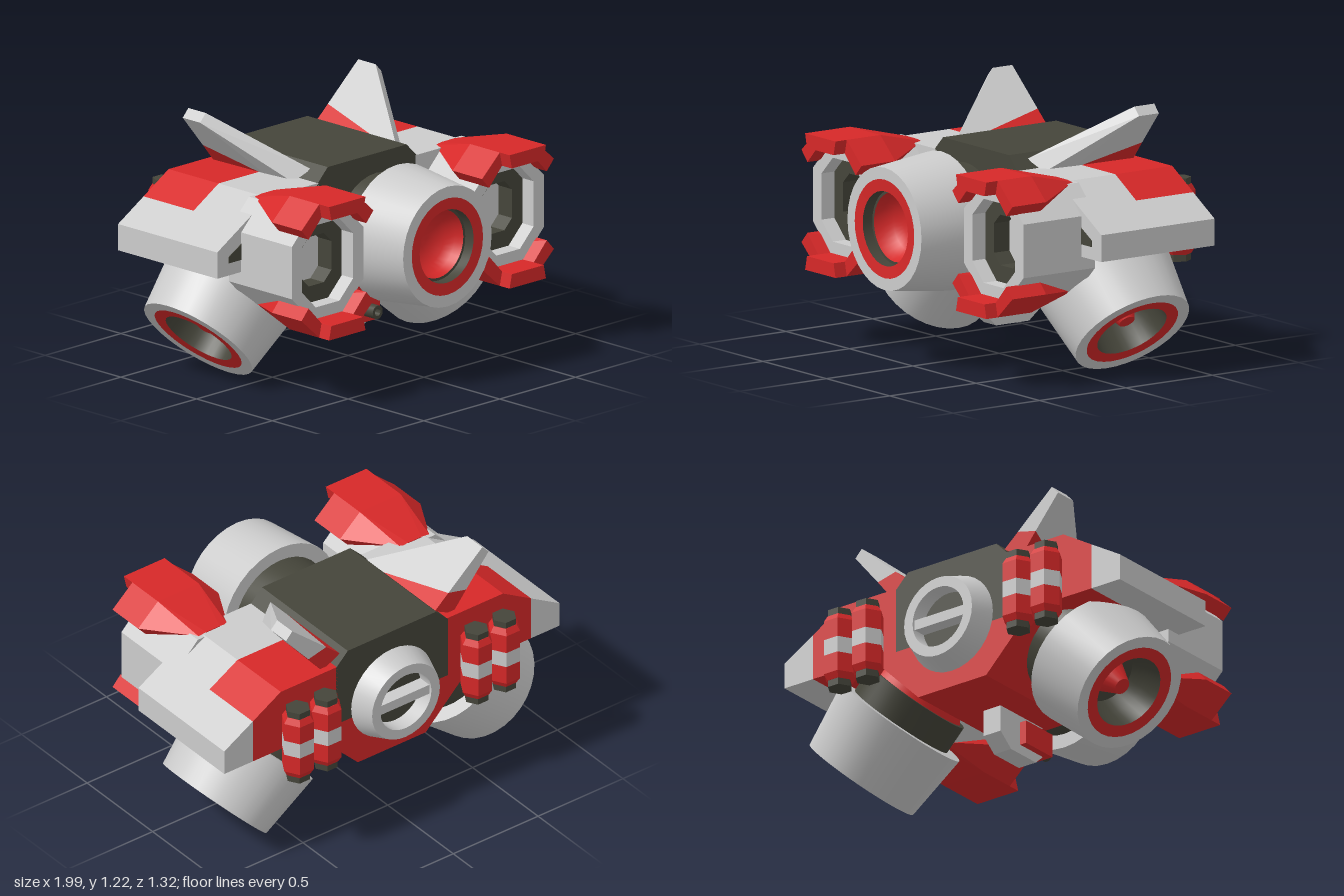
import * as THREE from 'three';
import { toCreasedNormals } from 'three/addons/utils/BufferGeometryUtils.js';
import { ConvexGeometry } from 'three/addons/geometries/ConvexGeometry.js';

const grey = new THREE.MeshStandardMaterial({ color: 0xcccccc });
const red = new THREE.MeshStandardMaterial({ color: 0xd62828 });
const dark = new THREE.MeshStandardMaterial({ color: 0x45453a });

const V2 = (a) => a.map(([x, y]) => new THREE.Vector2(x, y));

function add(parent, name, geo, mat, x = 0, y = 0, z = 0) {
  const m = new THREE.Mesh(geo, mat);
  m.name = name;
  m.position.set(x, y, z);
  parent.add(m);
  return m;
}

// Outline in x/y, extruded from z0 to z1, optionally with a hole
function prism(pts, z0, z1, hole) {
  const s = new THREE.Shape(V2(pts));
  if (hole) s.holes.push(new THREE.Path(V2(hole)));
  return new THREE.ExtrudeGeometry(s, { depth: z1 - z0, bevelEnabled: false }).translate(0, 0, z0);
}

// Convex solid, mirrored in x by s and in y by v
const hull = (pts, s = 1, v = 1) =>
  new ConvexGeometry(pts.map(([x, y, z]) => new THREE.Vector3(x * s, y * v, z)));

const lathe = (pts, seg = 32) => toCreasedNormals(new THREE.LatheGeometry(V2(pts), seg), 0.5);

const box = (w, h, d) => new THREE.BoxGeometry(w, h, d);

// Octagon with half sizes a, b and corner cut c
const oct = (a, b, c) => [
  [a, -b + c], [a, b - c], [a - c, b], [-a + c, b],
  [-a, b - c], [-a, -b + c], [-a + c, -b], [a - c, -b],
];

// Round housing along local +y, with a lens or a nozzle cone inside
function housing(name, lens) {
  const g = new THREE.Group();
  g.name = name;
  add(g, 'collar', lathe([[0, 0], [0.2, 0], [0.24, 0.065], [0, 0.065]]), red);
  add(g, 'neck', lathe([[0, 0.06], [0.26, 0.06], [0.26, 0.22], [0, 0.22]]), dark);
  add(g, 'shell', lathe([[0.2, 0.2], [0.33, 0.2], [0.292, 0.53], [0.235, 0.53]]), grey);
  add(g, 'trimRing', lathe([[0.235, 0.53], [0.178, 0.525]]), red);
  if (lens) {
    add(g, 'lensRim', lathe([[0.178, 0.525], [0.178, 0.47], [0.165, 0.47]]), dark);
    add(g, 'lens', lathe([[0.168, 0.47], [0.155, 0.425], [0.125, 0.385], [0.08, 0.36], [0.04, 0.352], [0, 0.35]]), red);
  } else {
    add(g, 'bowl', lathe([[0.178, 0.525], [0.17, 0.42], [0.145, 0.34], [0, 0.32]]), dark);
    add(g, 'cone', lathe([[0.1, 0.32], [0.04, 0.47], [0, 0.47]], 16), red);
  }
  return g;
}

// Octagonal pod with a recessed muzzle and red armour above and below
function pod() {
  const g = new THREE.Group();
  g.name = 'gunPod';
  const opening = oct(0.168, 0.2, 0.09);
  add(g, 'podBody', prism(oct(0.235, 0.2575, 0.13), 0.05, 0.465, opening), grey);
  add(g, 'muzzle', prism(opening, 0.28, 0.39, oct(0.1, 0.12, 0.05)), dark);
  add(g, 'podBack', prism(opening, 0.06, 0.3), grey);
  const inTop = [0.105, 0.2575], outTop = [0.12, 0.325], outEnd = [0.237, 0.22], inEnd = [0.19, 0.168];
  for (const v of [1, -1]) {
    const mid = [];
    for (const s of [1, -1]) {
      const side = [[0.04, 0.263, 0.07], [0.085, 0.258, 0.07]];
      for (const z of [0.335, 0.53])
        for (const [x, y] of [inTop, outTop, outEnd, inEnd]) side.push([x, y, z]);
      add(g, 'armourSide', hull(side, s, v), red);
      for (const z of [0.335, 0.595])
        for (const [x, y] of [inTop, outTop]) mid.push([x * s, y, z]);
      mid.push([0.04 * s, 0.263, 0.07], [0.04 * s, 0.25, 0.07]);
    }
    add(g, 'armourTop', hull(mid, 1, v), red);
  }
  return g;
}

// Six-sided canister
function canister() {
  const g = new THREE.Group();
  g.name = 'canister';
  add(g, 'caps', new THREE.CylinderGeometry(0.06, 0.06, 0.395, 6), dark);
  for (const s of [1, -1]) {
    const r = [0.08, 0.08, 0.062];
    add(g, 'canisterBody', new THREE.CylinderGeometry(s > 0 ? r[2] : r[0], s > 0 ? r[0] : r[2], 0.03, 6), red, 0, 0.15 * s);
    add(g, 'canisterBody', new THREE.CylinderGeometry(0.08, 0.08, 0.095, 6), red, 0, 0.0875 * s);
  }
  add(g, 'band', new THREE.CylinderGeometry(0.08, 0.08, 0.08, 6), grey);
  g.children.forEach((m) => { m.geometry = toCreasedNormals(m.geometry, 0.3); });
  g.rotation.y = Math.PI / 6;
  return g;
}

export function createModel() {
  const root = new THREE.Group();
  root.name = 'flyingCraft';
  const body = new THREE.Group();
  body.name = 'craft';
  body.position.x = -0.005;
  root.add(body);
  const back = -0.525, front = 0.13;

  // Central hull: dark upper block, red lower keel with slanted engine mounts
  add(body, 'upperHull', prism([[0.33, 0.62], [0.33, 0.94], [0.26, 1.01], [-0.26, 1.01], [-0.33, 0.94], [-0.33, 0.62]], back, front), dark);
  add(body, 'lowerHull', prism([[0.2, 0.35], [0.47, 0.62], [-0.47, 0.62], [-0.2, 0.35]], back, front), red);

  // Front lens housing
  const eye = housing('frontHousing', true);
  eye.rotation.x = Math.PI / 2;
  eye.position.set(0, 0.68, front);
  body.add(eye);

  // Rear exhaust with a crossbar
  const exhaust = new THREE.Group();
  exhaust.name = 'rearExhaust';
  exhaust.position.set(0, 0.67, back);
  add(exhaust, 'exhaustRing', lathe([[0.24, 0], [0.2, 0.108], [0.15, 0.108], [0.15, 0.02]]), grey).rotation.x = -Math.PI / 2;
  add(exhaust, 'exhaustFloor', new THREE.CircleGeometry(0.155, 32), dark, 0, 0, -0.025).rotation.y = Math.PI;
  add(exhaust, 'crossbar', box(0.31, 0.05, 0.07), grey, 0, 0, -0.06);
  body.add(exhaust);

  for (const s of [1, -1]) {
    const flip = (pts) => pts.map(([x, y]) => [x * s, y]);

    // Wing: inner section with a red rear panel, grey outer section
    const inner = flip([[0.32, 0.62], [0.82, 0.62], [0.82, 0.847], [0.655, 0.945], [0.32, 0.945]]);
    const outer = flip([[0.82, 0.62], [0.988, 0.62], [0.988, 0.748], [0.82, 0.847]]);
    add(body, 'wingFront', prism(inner, -0.195, front), grey);
    add(body, 'wingRearPanel', prism(inner, back, -0.195), red);
    add(body, 'wingTip', prism(outer, back, front), grey);
    add(body, 'wingSlot', prism(flip([[0.8, 0.68], [0.915, 0.68], [0.915, 0.71], [0.8, 0.775]]), 0.1, front + 0.003), dark);

    // Side engine, tilted out and down
    const engine = housing('sideEngine', false);
    engine.rotation.z = -s * Math.PI * 0.75;
    engine.position.set(s * 0.415, 0.59, -0.195);
    body.add(engine);

    const gun = pod();
    gun.position.set(s * 0.595, 0.685, 0);
    body.add(gun);

    // Tail fin: grey blade over a red root wedge
    const rootWedge = [
      [0.28, 0.985, -0.08], [0.28, 0.985, -0.49], [0.36, 1.055, -0.49],
      [0.375, 0.93, -0.15], [0.385, 0.93, -0.49], [0.465, 1.03, -0.49],
    ];
    const blade = [
      rootWedge[0], rootWedge[2], rootWedge[3], rootWedge[5],
      [0.28, 0.985, 0.04], [0.36, 0.93, 0],
      [0.56, 1.23, -0.375], [0.56, 1.23, -0.49], [0.597, 1.19, -0.375], [0.597, 1.19, -0.49],
    ];
    add(body, 'finRoot', hull(rootWedge, s), red);
    add(body, 'finBlade', hull(blade, s), grey);

    // Canister pair on the back
    for (const x of [0.444, 0.608]) {
      const c = canister();
      c.position.set(s * x, 0.68, -0.595);
      body.add(c);
    }

    add(body, 'turretCheek', box(0.04, 0.115, 0.2), red, s * 0.065, 0.26, 0.03);
  }

  // Belly turret: grey keel, red block, dark barrel
  const keel = [];
  for (const x of [0.05, -0.05])
    keel.push([x, 0.37, 0.1], [x, 0.2, 0.1], [x, 0.155, 0.05], [x, 0.155, -0.14], [x, 0.22, -0.22], [x, 0.37, -0.22]);
  add(body, 'turretKeel', hull(keel), grey);
  add(body, 'turretBlock', box(0.11, 0.115, 0.05), red, 0, 0.26, 0.105);
  const barrel = lathe([[0, 0], [0.033, 0], [0.033, 0.09], [0.018, 0.09], [0.018, 0.04], [0, 0.04]], 16);
  add(body, 'turretBarrel', barrel, dark, 0, 0.262, 0.11).rotation.x = Math.PI / 2;

  return root;
}
